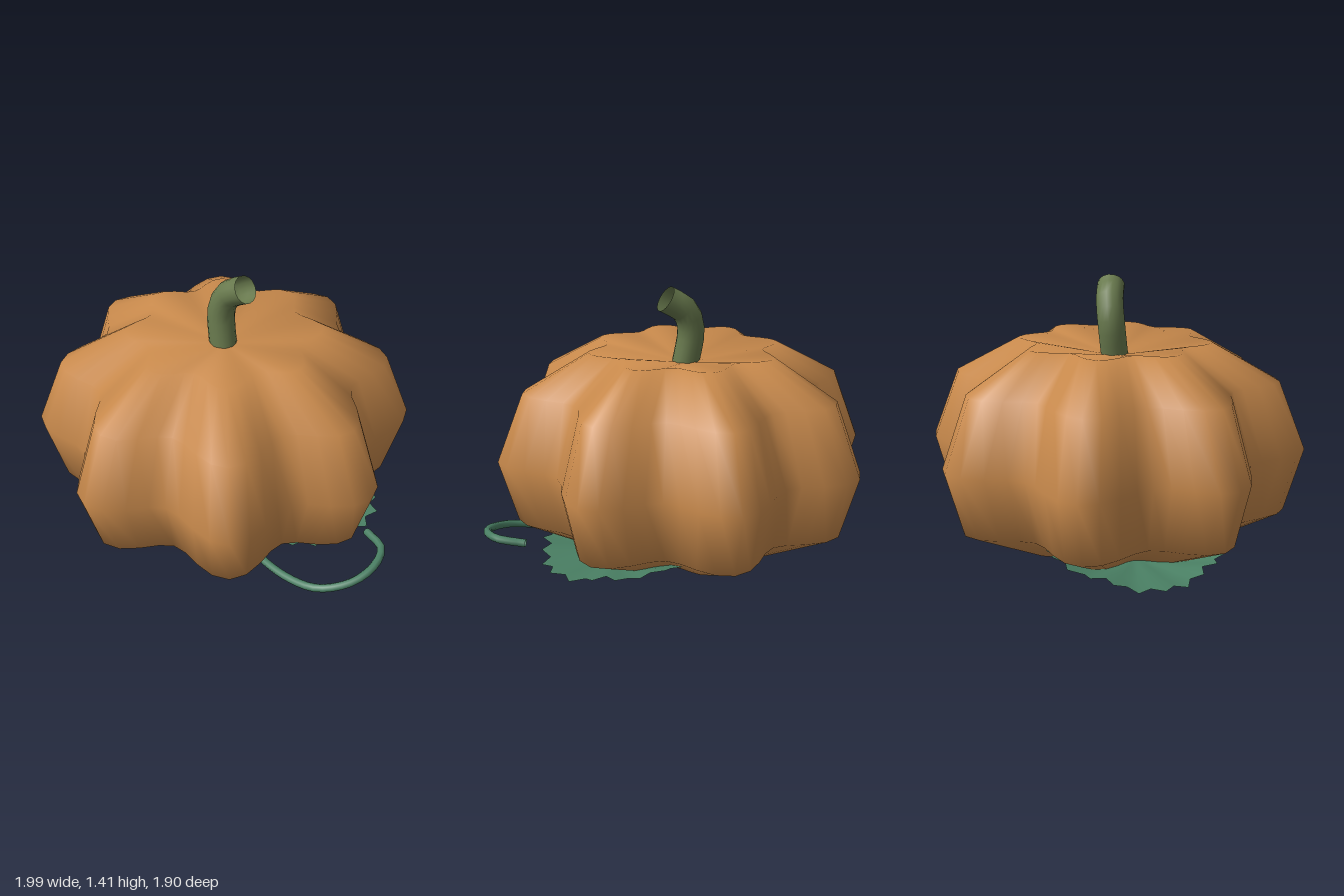
import * as THREE from 'three';
import { mergeVertices } from 'three/addons/utils/BufferGeometryUtils.js';

const CX = -0.05; // axis of the gourd

const flesh = new THREE.MeshStandardMaterial({ name: 'orange skin', color: 0xc98a4c });
const stalk = new THREE.MeshStandardMaterial({ name: 'olive stem', color: 0x68794d, side: THREE.DoubleSide });
const green = new THREE.MeshStandardMaterial({ name: 'leaf green', color: 0x4a8064, side: THREE.DoubleSide });

function part(name, geometry, material) {
  const mesh = new THREE.Mesh(geometry, material);
  mesh.name = name;
  return mesh;
}

function tube(points, segments, radius, sides) {
  const curve = new THREE.CatmullRomCurve3(points.map(p => new THREE.Vector3(...p)));
  return new THREE.TubeGeometry(curve, segments, radius, sides);
}

// Faceted profile turned into eight ribs, with a dip around the stem
function bodyGeometry() {
  const profile = [[0, 0], [0.485, 0.075], [0.86, 0.26], [0.95, 0.58], [0.815, 0.92], [0.485, 1.1], [0, 1.02]]
    .map(p => new THREE.Vector2(...p));
  let geo = new THREE.LatheGeometry(profile, 64);
  const pos = geo.attributes.position;
  for (let i = 0; i < pos.count; i++) {
    const x = pos.getX(i), z = pos.getZ(i);
    const k = 0.9 + 0.1 * Math.cos(8 * Math.atan2(z, x));
    pos.setX(i, x * k);
    pos.setZ(i, z * k);
  }
  geo.deleteAttribute('uv');
  geo.deleteAttribute('normal');
  geo = mergeVertices(geo, 1e-4);
  geo.computeVertexNormals();
  return geo;
}

// Toothed, cupped leaf pointing along +x, its side edges curling up
function leafGeometry() {
  const N = 48, rings = [0.35, 0.7, 1], verts = [0.38, 0.1, 0], index = [];
  rings.forEach((f, ring) => {
    for (let i = 0; i < N; i++) {
      const a = i / N * Math.PI * 2;
      const tooth = ring === 2 ? (i % 2 ? -0.03 : 0.015) : 0;
      const r = f * (0.43 + 0.02 * Math.cos(5 * a) + tooth);
      const u = 0.38 + r * Math.cos(a), v = r * Math.sin(a);
      const y = 0.1 + 0.45 * v * v + 0.02 * f * Math.cos(a) + 0.008 * f * Math.cos(10 * a);
      verts.push(u, y, v);
    }
  });
  for (let i = 0; i < N; i++) {
    const j = (i + 1) % N;
    index.push(0, 1 + j, 1 + i);
    for (let k = 0; k < rings.length - 1; k++) {
      const a = 1 + k * N, b = a + N;
      index.push(a + i, a + j, b + i, a + j, b + j, b + i);
    }
  }
  const geo = new THREE.BufferGeometry();
  geo.setAttribute('position', new THREE.Float32BufferAttribute(verts, 3));
  geo.setIndex(index);
  geo.computeVertexNormals();
  return geo;
}

export function createModel() {
  const model = new THREE.Group();
  model.name = 'pumpkin';

  const body = part('ribbedBody', bodyGeometry(), flesh);
  body.position.x = CX;
  model.add(body);

  // Bent, open-ended stem
  model.add(part('stem', tube(
    [[-0.05, 0.98, 0.005], [-0.08, 1.2, -0.012], [-0.045, 1.29, -0.025], [0.055, 1.355, -0.035]],
    8, 0.068, 16), stalk));

  // Curling tendril from under the body
  model.add(part('vine', tube(
    [[0, 0.03, 0.04], [0.2, 0.052, 0.16], [0.45, 0.063, 0.26], [0.68, 0.09, 0.285], [0.83, 0.125, 0.26],
      [0.94, 0.165, 0.15], [0.97, 0.198, 0.02], [0.93, 0.21, -0.09], [0.8, 0.195, -0.145]],
    32, 0.02, 8), green));

  // Two leaves on opposite sides
  const leaf = leafGeometry();
  for (const [name, turn] of [['frontLeaf', Math.PI], ['backLeaf', 0]]) {
    const mesh = part(name, leaf, green);
    mesh.position.x = CX;
    mesh.rotation.y = turn + 0.44;
    model.add(mesh);
  }
  return model;
}
